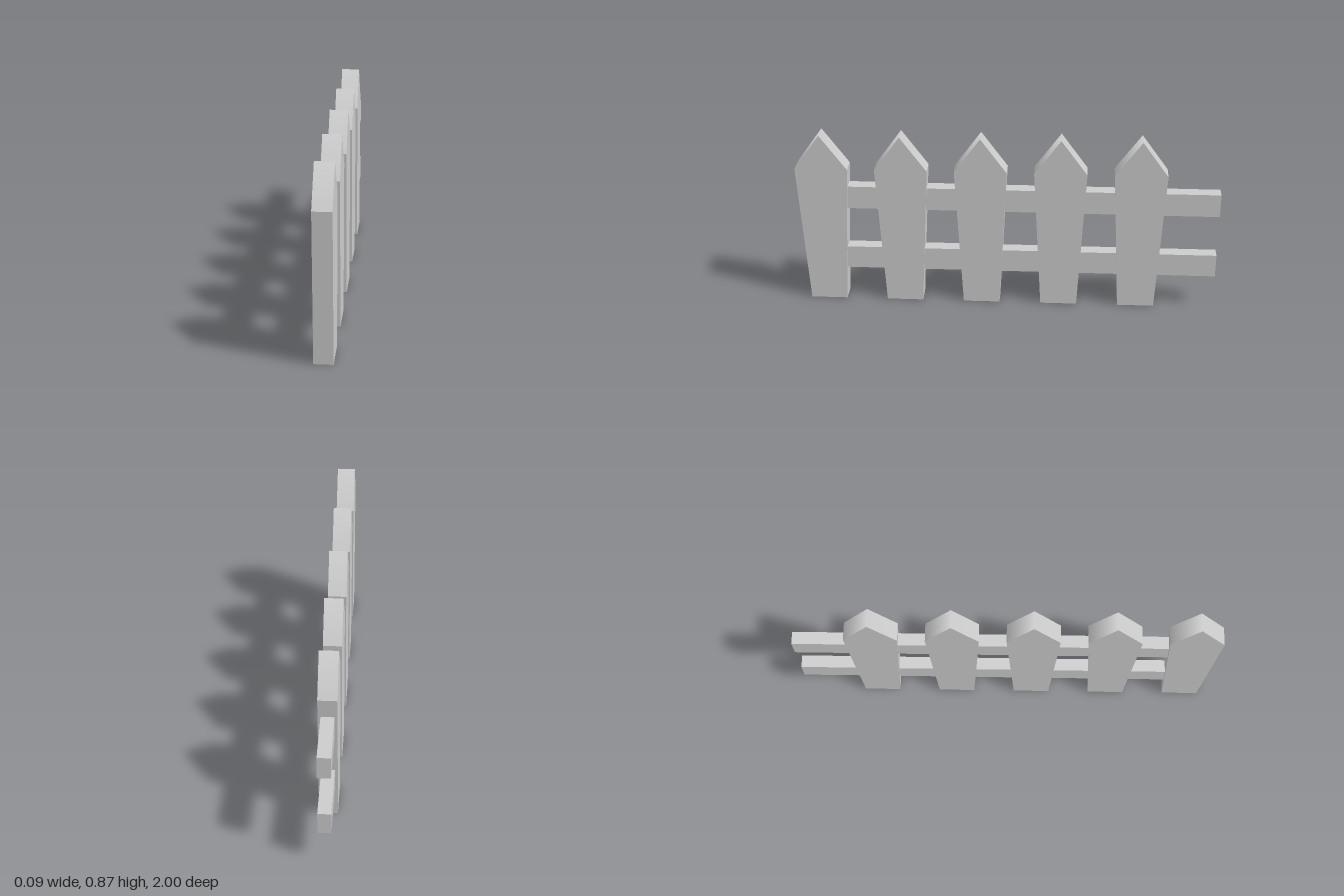
import * as THREE from 'three';

const material = new THREE.MeshStandardMaterial({ color: 0xcccccc });

// Tapered, pointed board: outline in the z-y plane, thickness along x
function picketGeometry() {
  const thickness = 0.086, peak = 0.87;
  const outline = [[-0.0875, 0], [0.0875, 0], [0.124, 0.698], [0, peak], [-0.124, 0.698]];
  const shape = new THREE.Shape(outline.map(([z, y]) => new THREE.Vector2(z, y)));
  const geometry = new THREE.ExtrudeGeometry(shape, { depth: thickness, bevelEnabled: false });
  geometry.translate(0, 0, -thickness / 2);
  geometry.rotateY(-Math.PI / 2);

  // Blend the shading of the two slopes over the ridge
  const { position, normal } = geometry.attributes;
  for (let i = 0; i < position.count; i++) {
    if (position.getY(i) > peak - 0.001 && normal.getY(i) > 0.1) normal.setXYZ(i, 0, 1, 0);
  }
  return geometry;
}

export function createModel() {
  const fence = new THREE.Group();
  fence.name = 'picketFence';

  // Five evenly spaced pickets
  const picket = picketGeometry();
  for (let i = 0; i < 5; i++) {
    const mesh = new THREE.Mesh(picket, material);
    mesh.name = `picket${i + 1}`;
    mesh.position.z = 0.876 - i * 0.375;
    fence.add(mesh);
  }

  // Two rails, running from inside the front picket past the last one
  const railStart = 0.876, railEnd = -1;
  const rail = new THREE.BoxGeometry(0.06, 0.114, railStart - railEnd);
  for (const [name, y] of [['lowerRail', 0.224], ['upperRail', 0.547]]) {
    const mesh = new THREE.Mesh(rail, material);
    mesh.name = name;
    mesh.position.set(0, y, (railStart + railEnd) / 2);
    fence.add(mesh);
  }
  return fence;
}
